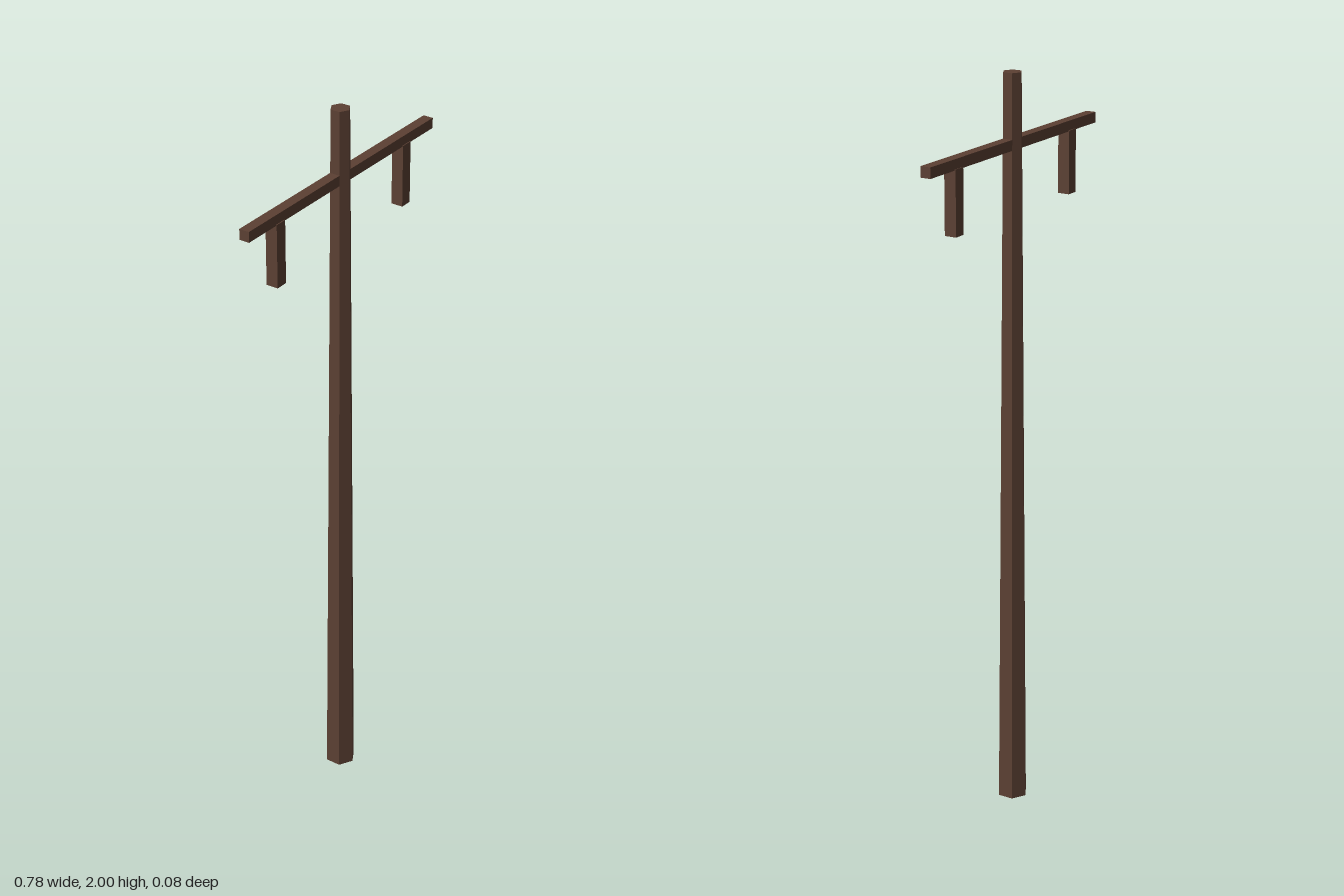
import * as THREE from 'three';

export function createModel() {
  const model = new THREE.Group();
  const wood = new THREE.MeshStandardMaterial({ color: 0x5c4033, flatShading: true });

  const add = (name, geometry, x, y) => {
    const mesh = new THREE.Mesh(geometry, wood);
    mesh.name = name;
    mesh.position.set(x, y, 0);
    model.add(mesh);
  };

  // Tapered six-sided pole, corners facing front and back
  add('pole', new THREE.CylinderGeometry(0.026, 0.042, 2, 6), 0, 1);

  // Horizontal beam through the pole
  add('crossarm', new THREE.BoxGeometry(0.78, 0.028, 0.028), 0, 1.819);

  // Square posts hanging under the beam
  for (const [side, name] of [[1, 'leftHanger'], [-1, 'rightHanger']]) {
    add(name, new THREE.BoxGeometry(0.034, 0.169, 0.033), side * 0.268, 1.7235);
  }

  return model;
}
